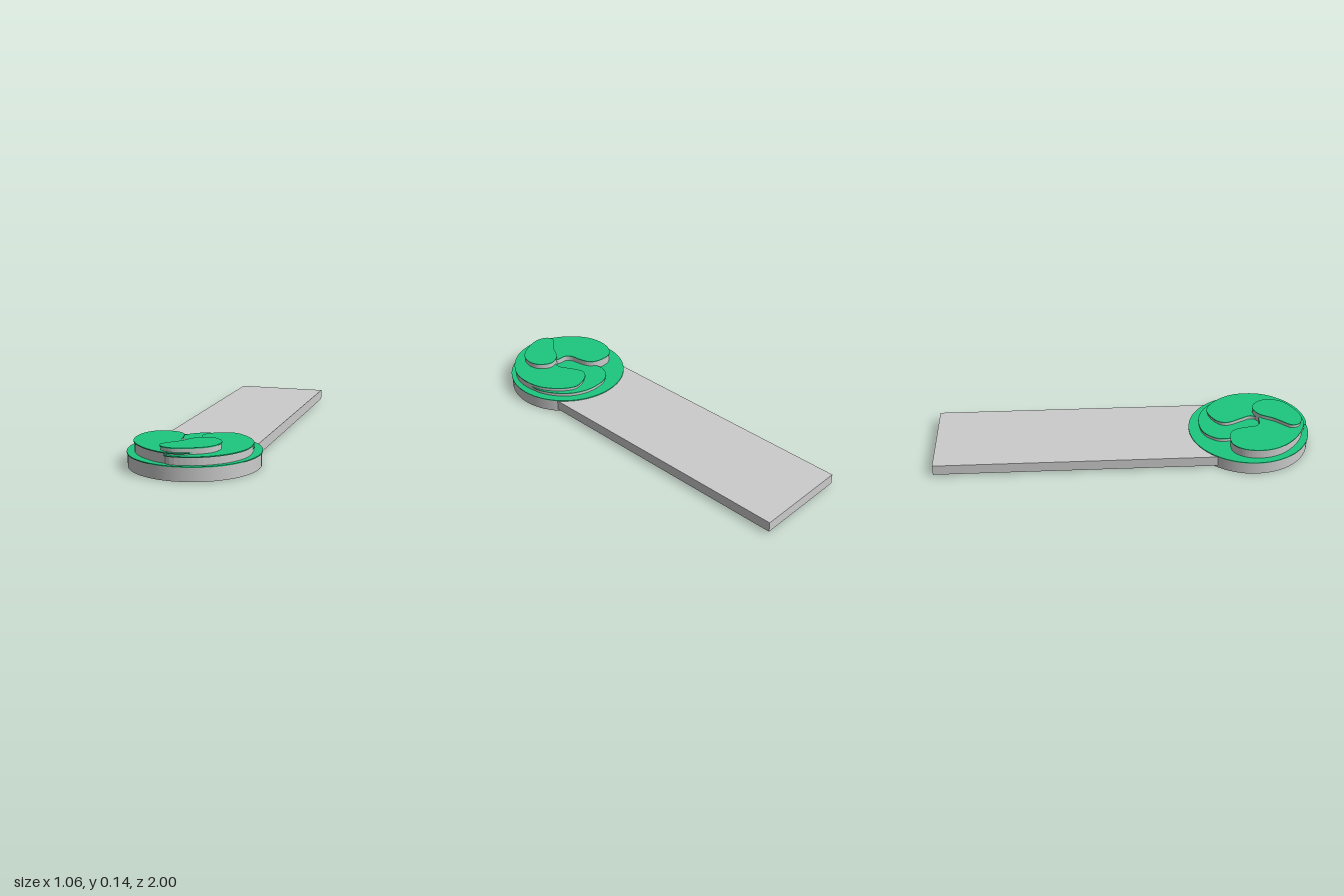
import * as THREE from 'three';

const GREY = new THREE.MeshStandardMaterial({ color: 0xcccccc });
const GREEN = new THREE.MeshStandardMaterial({ color: 0x1dc67e });
const CENTRE = [-0.21, 0.677];

// Upright prism from a plan outline of [x, z] points, spanning y0..y1
function prism(name, points, y0, y1, material) {
  const shape = new THREE.Shape(points.map(([x, z]) => new THREE.Vector2(x, -z)));
  const geo = new THREE.ExtrudeGeometry(shape, { depth: y1 - y0, bevelEnabled: false });
  geo.rotateX(-Math.PI / 2).translate(0, y0, 0);
  const mesh = new THREE.Mesh(geo, material);
  mesh.name = name;
  return mesh;
}

// Smooth closed outline through a few [x, z] points
function smooth(points) {
  const curve = new THREE.CatmullRomCurve3(points.map(([x, z]) => new THREE.Vector3(x, 0, z)), true);
  return curve.getPoints(72).slice(0, -1).map((p) => [p.x, p.z]);
}

// Grey raised body with a thin, slightly overhanging green cap
function lobe(name, points, top) {
  const group = new THREE.Group();
  group.name = name;
  const outline = smooth(points);
  const mid = [0, 1].map((k) => outline.reduce((s, p) => s + p[k], 0) / outline.length);
  const inner = outline.map((p) => p.map((v, k) => mid[k] + (v - mid[k]) * 0.975));
  group.add(prism(name + 'Body', inner, 0.068, top - 0.005, GREY));
  group.add(prism(name + 'Cap', outline, top - 0.005, top, GREEN));
  return group;
}

function disc(name, radius, y0, y1, material) {
  const mesh = new THREE.Mesh(new THREE.CylinderGeometry(radius, radius, y1 - y0, 64), material);
  mesh.position.set(CENTRE[0], (y0 + y1) / 2, CENTRE[1]);
  mesh.name = name;
  return mesh;
}

export function createModel() {
  const model = new THREE.Group();
  model.name = 'discWithStrap';

  // Flat slanted strap running back from the disc
  model.add(prism('strap', [[0.05, -1], [0.53, -0.85], [0.085, 0.58], [-0.395, 0.43]], 0.01, 0.065, GREY));

  // Round base
  model.add(disc('baseDisc', 0.318, 0, 0.066, GREY));
  model.add(disc('baseCap', 0.322, 0.066, 0.071, GREEN));

  // Four overlapping lobes, lowest to highest
  model.add(lobe('backLobe', [
    [-0.29, 0.53], [-0.27, 0.47], [-0.2, 0.425], [-0.13, 0.425], [-0.04, 0.46], [0.03, 0.53],
    [0.07, 0.64], [0.065, 0.74], [0.0, 0.8], [-0.16, 0.77], [-0.26, 0.72], [-0.275, 0.62],
  ], 0.092));
  model.add(lobe('rightLobe', [
    [-0.175, 0.56], [-0.14, 0.52], [-0.03, 0.51], [0.03, 0.57], [0.07, 0.7], [0.03, 0.85],
    [-0.07, 0.945], [-0.21, 0.985], [-0.34, 0.95], [-0.31, 0.85], [-0.2, 0.76], [-0.16, 0.71], [-0.165, 0.66],
  ], 0.113));
  model.add(lobe('leftLobe', [
    [-0.38, 0.5], [-0.29, 0.53], [-0.265, 0.57], [-0.265, 0.635], [-0.272, 0.68], [-0.26, 0.715], [-0.2, 0.745],
    [-0.175, 0.85], [-0.22, 0.945], [-0.3, 0.955], [-0.37, 0.92], [-0.45, 0.83], [-0.495, 0.72], [-0.49, 0.62], [-0.445, 0.535],
  ], 0.123));
  model.add(lobe('frontLobe', [
    [-0.2, 0.74], [-0.13, 0.735], [-0.085, 0.79], [-0.085, 0.85], [-0.125, 0.91], [-0.2, 0.94],
    [-0.31, 0.94], [-0.36, 0.9], [-0.36, 0.86], [-0.27, 0.8],
  ], 0.144));

  return model;
}
